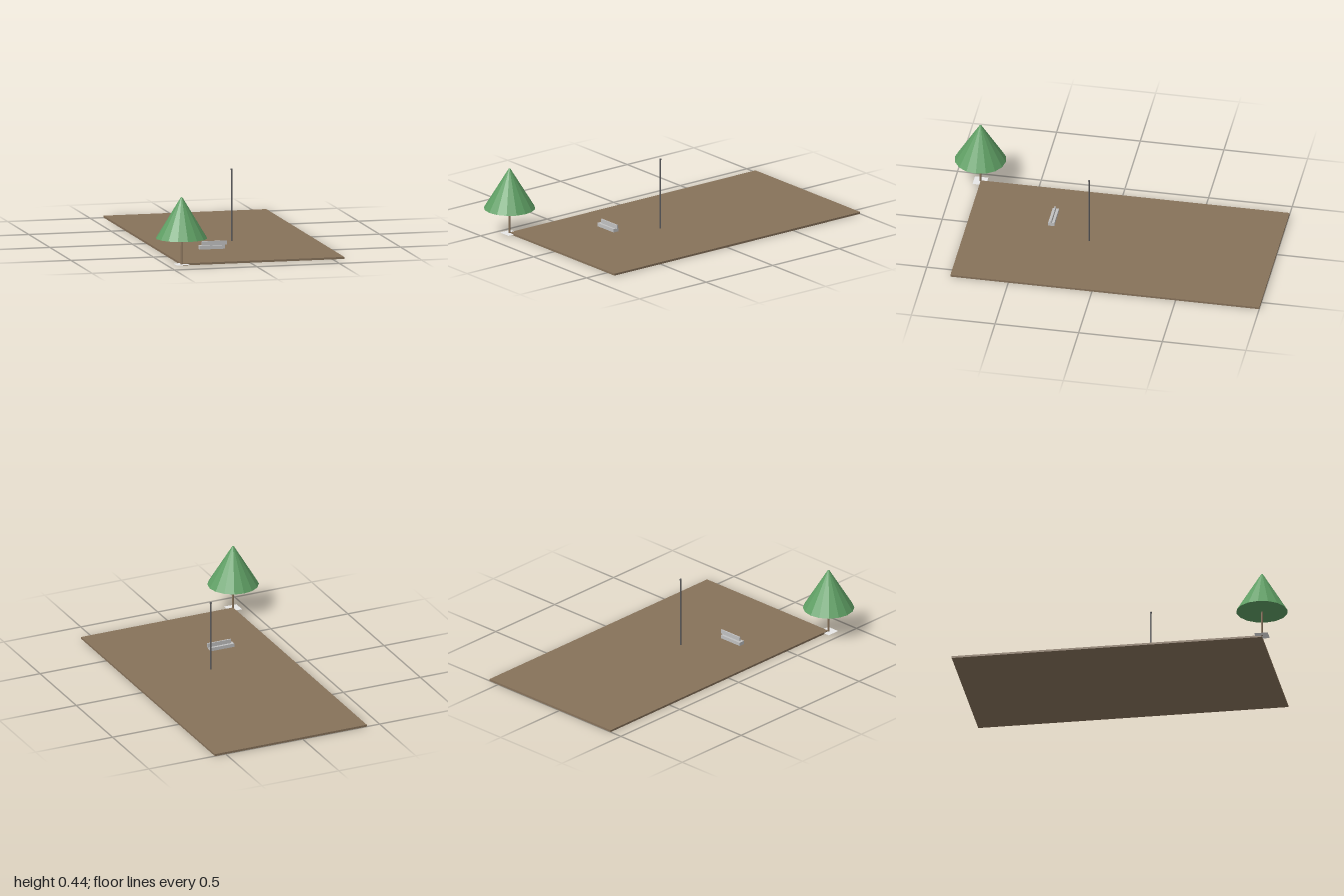
import * as THREE from 'three';

const mat = (name, color, extra = {}) => {
  const m = new THREE.MeshStandardMaterial({ color, ...extra });
  m.name = name;
  return m;
};

export function createModel() {
  const model = new THREE.Group();
  const earth = mat('earth brown', 0x87725a, { flatShading: true });
  const leaf = mat('leaf green', 0x5f9f64, { flatShading: true });
  const metal = mat('dark metal', 0x5a5a5c);
  const stone = mat('light grey', 0xc0c0c0);
  const white = mat('white', 0xffffff, { side: THREE.DoubleSide });

  const add = (parent, name, geometry, material, x, y, z) => {
    const mesh = new THREE.Mesh(geometry, material);
    mesh.name = name;
    mesh.position.set(x, y, z);
    parent.add(mesh);
    return mesh;
  };
  // Box given by its min and max corners
  const box = (parent, name, material, [x0, y0, z0], [x1, y1, z1]) =>
    add(parent, name, new THREE.BoxGeometry(x1 - x0, y1 - y0, z1 - z0), material,
      (x0 + x1) / 2, (y0 + y1) / 2, (z0 + z1) / 2);

  // Ground slab
  box(model, 'ground', earth, [-0.417, 0, -1], [0.57, 0.012, 0.846]);

  // Tree on the front corner, with a small base sheet
  const tree = new THREE.Group();
  tree.name = 'tree';
  tree.position.set(-0.418, 0, 0.848);
  model.add(tree);
  add(tree, 'trunk', new THREE.CylinderGeometry(0.0045, 0.0065, 0.157, 8), earth, 0, 0.0865, 0);
  add(tree, 'foliage', new THREE.CylinderGeometry(0.005, 0.152, 0.243, 16), leaf, 0, 0.2845, 0);
  const sheet = add(tree, 'baseSheet', new THREE.PlaneGeometry(0.08, 0.08), white, 0, 0.008, 0);
  sheet.rotation.x = -Math.PI / 2;

  // Bench: seat block and thin offset backrest
  const bench = new THREE.Group();
  bench.name = 'bench';
  model.add(bench);
  box(bench, 'seat', stone, [-0.185, 0.01, 0.336], [-0.033, 0.033, 0.373]);
  box(bench, 'backrest', stone, [-0.17, 0.033, 0.351], [-0.018, 0.058, 0.359]);

  // Lamp post with a small cap
  const post = new THREE.Group();
  post.name = 'lampPost';
  post.position.set(0.076, 0, 0.107);
  model.add(post);
  add(post, 'pole', new THREE.CylinderGeometry(0.0045, 0.0045, 0.428, 12), metal, 0, 0.224, 0);
  add(post, 'cap', new THREE.CylinderGeometry(0.006, 0.006, 0.007, 12), metal, 0, 0.4395, 0);

  return model;
}
